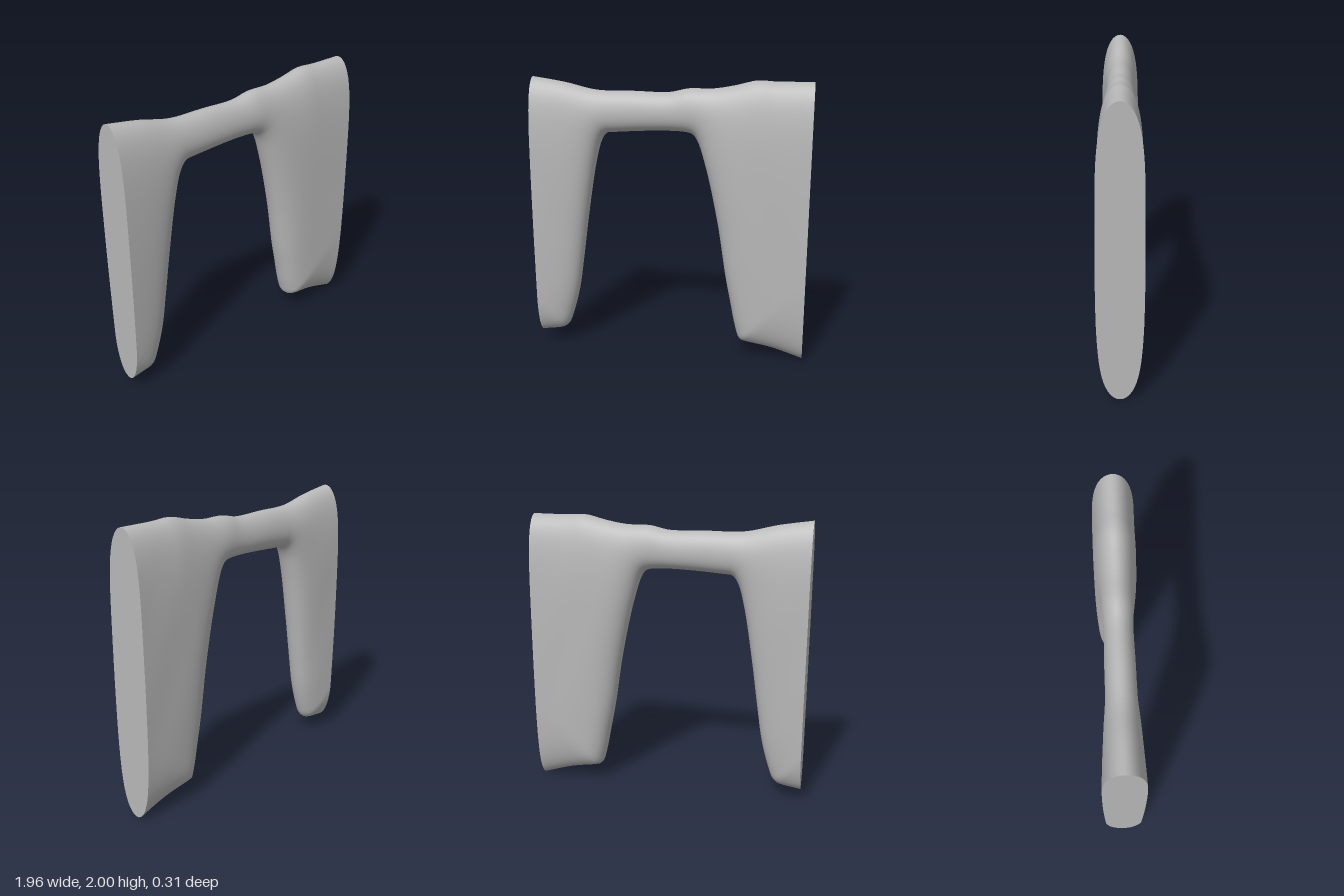
import * as THREE from 'three';

const stone = new THREE.MeshStandardMaterial({ color: 0xb8b8b8 });
stone.name = 'grey';

// Outline of the slab: upper edge and lower edge with the arch opening
const UPPER = [[-0.98, 2], [-0.75, 1.965], [-0.52, 1.915], [-0.25, 1.912], [0, 1.91], [0.13, 1.937],
  [0.3, 1.94], [0.45, 1.965], [0.6, 2], [0.72, 1.995], [0.98, 1.997]];
const LOWER = [[-0.98, 0.08], [-0.81, 0.113], [-0.775, 0.145], [-0.745, 0.22], [-0.69, 0.42], [-0.65, 0.67],
  [-0.6, 1.02], [-0.535, 1.4], [-0.49, 1.56], [-0.45, 1.615], [-0.4, 1.622], [0.15, 1.63], [0.19, 1.59],
  [0.255, 1.4], [0.345, 1], [0.41, 0.6], [0.45, 0.4], [0.485, 0.23], [0.52, 0.127], [0.56, 0.113],
  [0.75, 0.075], [0.98, 0.005]];

const sample = (pts, n) =>
  new THREE.CatmullRomCurve3(pts.map(([x, y]) => new THREE.Vector3(x, y, 0))).getSpacedPoints(n);

function heightAt(line, x) {
  let i = 1;
  while (i < line.length - 1 && line[i].x < x) i++;
  const a = line[i - 1], b = line[i];
  return a.y + (b.y - a.y) * THREE.MathUtils.clamp((x - a.x) / (b.x - a.x), 0, 1);
}

// Shortest distance from a point to a sampled edge
function distanceTo(line, x, y) {
  let best = Infinity;
  for (let i = 1; i < line.length; i++) {
    const a = line[i - 1], dx = line[i].x - a.x, dy = line[i].y - a.y;
    const t = THREE.MathUtils.clamp(((x - a.x) * dx + (y - a.y) * dy) / (dx * dx + dy * dy), 0, 1);
    best = Math.min(best, Math.hypot(x - a.x - t * dx, y - a.y - t * dy));
  }
  return best;
}

const rounding = (d, k) => Math.sqrt(1 - Math.exp(-d / k));

function buildGeometry(positions, index) {
  const g = new THREE.BufferGeometry();
  g.setAttribute('position', new THREE.Float32BufferAttribute(positions, 3));
  g.setIndex(index);
  g.computeVertexNormals();
  return g;
}

export function createModel() {
  const group = new THREE.Group();
  group.name = 'archSlab';
  const upper = sample(UPPER, 60), lower = sample(LOWER, 170);
  const RING = 72;

  // Vertical cross-sections, thinning toward the upper and lower edges
  const rings = lower.map(({ x, y: y0 }) => {
    const y1 = heightAt(upper, x);
    const softness = 0.1 + 0.1 * THREE.MathUtils.smoothstep(Math.abs(x), 0.5, 0.95);
    return Array.from({ length: RING }, (_, j) => {
      const a = (j / RING) * Math.PI * 2;
      const y = (y0 + y1) / 2 + ((y1 - y0) / 2) * Math.cos(a);
      if (j === 0 || j === RING / 2) return [x, y, 0];
      const half = 0.157 * rounding(distanceTo(upper, x, y), 0.2) * rounding(distanceTo(lower, x, y), softness);
      const ripple = 1 + 0.012 * Math.sin(9 * x + 2 * y) * Math.sin(5 * y + 7 * x);
      return [x, y, Math.sign(Math.sin(a)) * half * ripple];
    });
  });

  const index = [];
  for (let i = 0; i < rings.length - 1; i++) {
    for (let j = 0; j < RING; j++) {
      const k = (j + 1) % RING;
      const a = i * RING + j, c = i * RING + k;
      index.push(a, c, a + RING, a + RING, c, c + RING);
    }
  }
  const body = new THREE.Mesh(buildGeometry(rings.flat(2), index), stone);
  body.name = 'archBody';
  group.add(body);

  // Flat oval ends
  [[rings[0], 'rightEnd', false], [rings[rings.length - 1], 'leftEnd', true]].forEach(([ring, name, outward]) => {
    const faces = [];
    for (let j = 1; j < RING - 1; j++) faces.push(0, ...(outward ? [j, j + 1] : [j + 1, j]));
    const cap = new THREE.Mesh(buildGeometry(ring.flat(), faces), stone);
    cap.name = name;
    group.add(cap);
  });

  return group;
}
